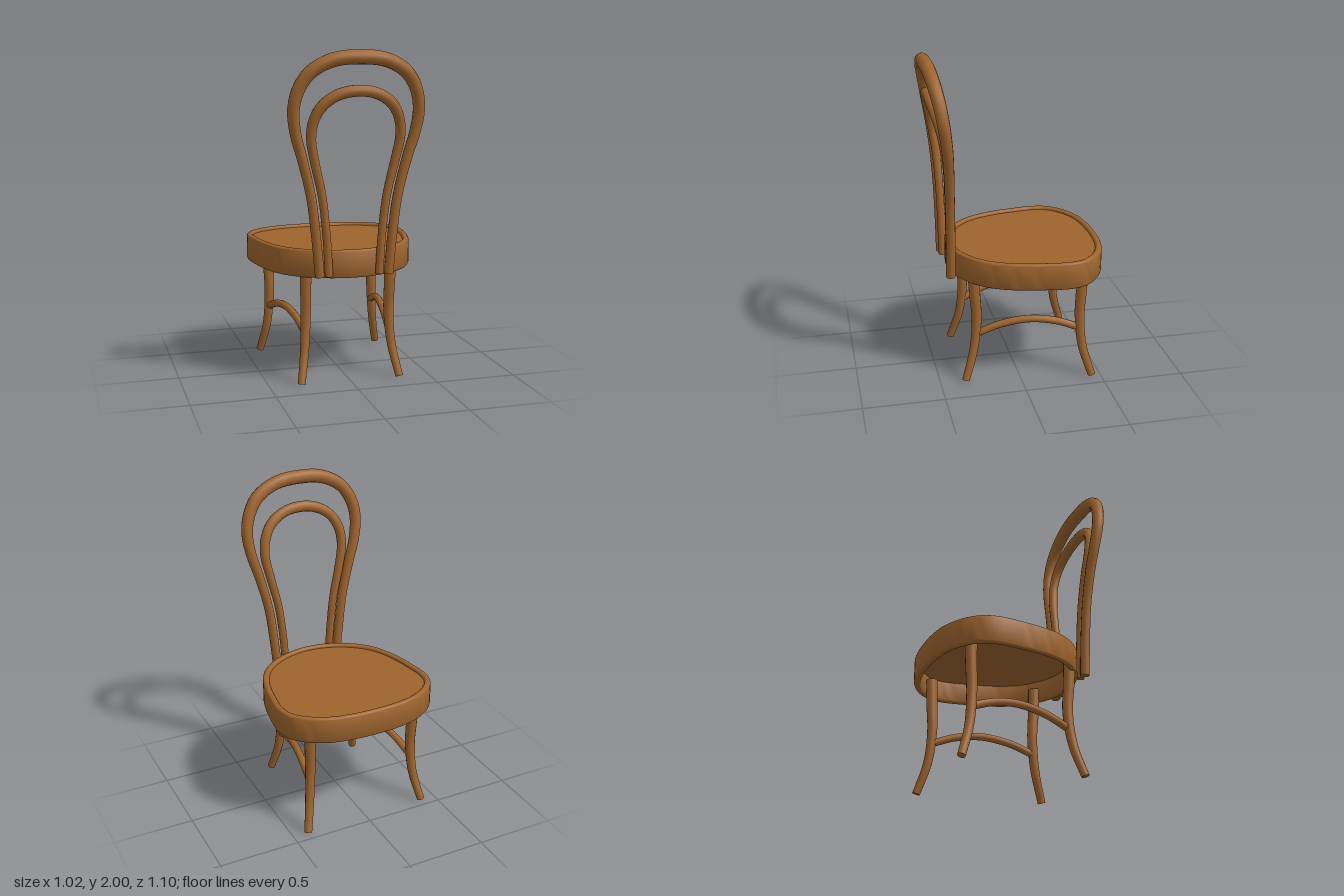
import * as THREE from 'three';
import { mergeGeometries, toCreasedNormals } from 'three/addons/utils/BufferGeometryUtils.js';

const vec = (p) => new THREE.Vector3(...p);

// Bent rod: a tube whose radius follows radiusAt(u), with flat end caps
function rod(points, radiusAt, segments, sides = 12) {
  const curve = new THREE.CatmullRomCurve3(points.map(vec));
  const tube = new THREE.TubeGeometry(curve, segments, 1, sides, false);
  const pos = tube.attributes.position;
  const v = new THREE.Vector3();
  for (let i = 0; i <= segments; i++) {
    const u = i / segments;
    const centre = curve.getPointAt(u);
    for (let j = 0; j <= sides; j++) {
      const k = i * (sides + 1) + j;
      v.fromBufferAttribute(pos, k).sub(centre).multiplyScalar(radiusAt(u)).add(centre);
      pos.setXYZ(k, v.x, v.y, v.z);
    }
  }
  const caps = [0, 1].map((u) => {
    const cap = new THREE.CircleGeometry(radiusAt(u), sides);
    const dir = curve.getTangentAt(u).multiplyScalar(u ? 1 : -1);
    cap.applyQuaternion(new THREE.Quaternion().setFromUnitVectors(new THREE.Vector3(0, 0, 1), dir));
    return cap.translate(...curve.getPointAt(u).toArray());
  });
  return mergeGeometries([tube, ...caps]);
}

// Hoop: half a path from foot to crown, mirrored to the other side
function hoop(half, footRadius, crownRadius) {
  const other = half.slice(0, -1).reverse().map(([x, y, z]) => [-x, y, z]);
  const swell = (u) => THREE.MathUtils.lerp(footRadius, crownRadius,
    THREE.MathUtils.smoothstep(1 - Math.abs(2 * u - 1), 0.3, 1));
  return rod([...half, ...other], swell, 80);
}

// Seat outline (x, z), inset evenly
const halfSeat = [
  [0, -0.555], [0.16, -0.546], [0.29, -0.518], [0.42, -0.445], [0.49, -0.36], [0.512, -0.26],
  [0.5, -0.14], [0.476, 0], [0.435, 0.13], [0.365, 0.245], [0.255, 0.335], [0.13, 0.39], [0, 0.408],
];
const seatCurve = new THREE.CatmullRomCurve3(
  [...halfSeat, ...halfSeat.slice(1, -1).reverse().map(([x, z]) => [-x, z])]
    .map(([x, z]) => new THREE.Vector3(x, z, 0)), true);
function seatOutline(inset) {
  const pts = [];
  for (let i = 0; i < 72; i++) {
    const p = seatCurve.getPointAt(i / 72);
    const t = seatCurve.getTangentAt(i / 72);
    pts.push(new THREE.Vector2(p.x - t.y * inset, p.y + t.x * inset));
  }
  return pts;
}

export function createModel() {
  const chair = new THREE.Group();
  chair.name = 'bentwoodChair';
  const wood = new THREE.MeshStandardMaterial({ color: 0x9e642e });
  wood.name = 'warm brown wood';
  const add = (name, geometry) => {
    const mesh = new THREE.Mesh(geometry, wood);
    mesh.name = name;
    chair.add(mesh);
  };

  // Seat rim: tall rounded band, hollow underneath
  const bevel = 0.018, top = 0.83, bottom = 0.66;
  const rimShape = new THREE.Shape(seatOutline(0));
  rimShape.holes.push(new THREE.Path(seatOutline(0.04)));
  const rim = new THREE.ExtrudeGeometry(rimShape, {
    depth: top - bottom - 2 * bevel, bevelEnabled: true, bevelThickness: bevel,
    bevelSize: bevel, bevelOffset: -bevel, bevelSegments: 4,
  });
  rim.rotateX(Math.PI / 2).translate(0, top - bevel, 0);
  add('seatRim', toCreasedNormals(rim, 0.7));

  // Seat panel set just below the top of the rim
  const panel = new THREE.ExtrudeGeometry(new THREE.Shape(seatOutline(0.03)),
    { depth: 0.02, bevelEnabled: false });
  panel.rotateX(Math.PI / 2).translate(0, 0.812, 0);
  add('seatPanel', panel);

  // Backrest hoops, leaning towards +z at the crown
  add('outerBackHoop', hoop([
    [0.212, 0.68, 0.408], [0.232, 0.9, 0.408], [0.263, 1.15, 0.412], [0.318, 1.38, 0.422],
    [0.358, 1.52, 0.434], [0.375, 1.66, 0.452], [0.348, 1.78, 0.47], [0.282, 1.875, 0.488],
    [0.16, 1.94, 0.501], [0, 1.957, 0.506],
  ], 0.029, 0.043));
  add('innerBackHoop', hoop([
    [0.155, 0.68, 0.405], [0.168, 0.9, 0.405], [0.196, 1.15, 0.409], [0.243, 1.36, 0.418],
    [0.268, 1.5, 0.434], [0.253, 1.61, 0.453], [0.2, 1.695, 0.474], [0.11, 1.75, 0.489],
    [0, 1.767, 0.494],
  ], 0.025, 0.034));

  // Legs flare outward at the feet; an arched stretcher joins each side pair
  for (const [side, s] of [['left', 1], ['right', -1]]) {
    const mirrored = (pts) => pts.map(([x, y, z]) => [s * x, y, z]);
    const taper = (u) => THREE.MathUtils.lerp(0.037, 0.024, u);
    add(side + 'BackLeg', rod(mirrored([
      [0.266, 0.74, 0.28], [0.264, 0.58, 0.272], [0.262, 0.4, 0.262],
      [0.276, 0.2, 0.285], [0.309, 0.012, 0.342],
    ]), taper, 24));
    add(side + 'FrontLeg', rod(mirrored([
      [0.355, 0.74, -0.383], [0.352, 0.58, -0.378], [0.35, 0.4, -0.371],
      [0.365, 0.2, -0.389], [0.402, 0.012, -0.443],
    ]), taper, 24));
    add(side + 'Stretcher', rod(mirrored([
      [0.263, 0.305, 0.262], [0.281, 0.362, 0.12], [0.306, 0.393, -0.06],
      [0.33, 0.376, -0.22], [0.35, 0.325, -0.37],
    ]), () => 0.023, 24));
  }
  return chair;
}
